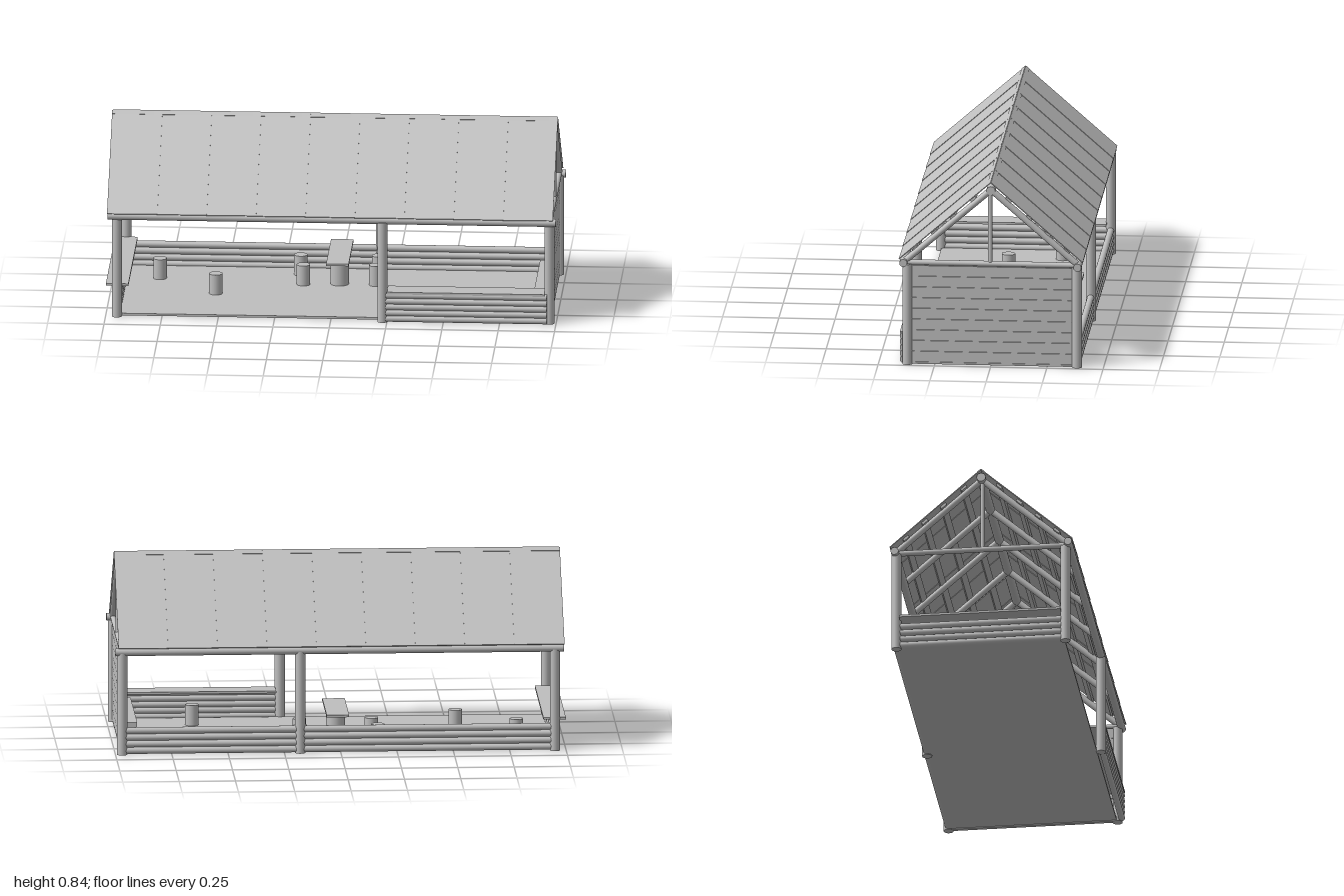
import * as THREE from 'three';

const timber = new THREE.MeshStandardMaterial({ color: 0xbfbfbf });
timber.name = 'grey timber';

export function createModel() {
  const model = new THREE.Group();
  model.name = 'shelter';

  const add = (name, geometry, x, y, z) => {
    const mesh = new THREE.Mesh(geometry, timber);
    mesh.name = name;
    mesh.position.set(x, y, z);
    model.add(mesh);
    return mesh;
  };
  const box = (name, w, h, d, x, y, z) => add(name, new THREE.BoxGeometry(w, h, d), x, y, z);

  // round log running between two points
  const log = (name, from, to, r) => {
    const a = new THREE.Vector3(...from);
    const b = new THREE.Vector3(...to);
    const dir = b.clone().sub(a);
    const mesh = add(name, new THREE.CylinderGeometry(r, r, dir.length(), 20), 0, 0, 0);
    mesh.position.copy(a).add(b).multiplyScalar(0.5);
    mesh.quaternion.setFromUnitVectors(new THREE.Vector3(0, 1, 0), dir.normalize());
    return mesh;
  };

  // floor
  box('floor', 1.9, 0.01, 0.75, 0, 0.008, -0.005);

  // posts
  const posts = [[-0.95, 0.372], [0.23, 0.388], [0.97, 0.372], [-0.95, -0.382], [0.18, -0.382], [0.97, -0.382]];
  for (const [x, z] of posts) log('post', [x, 0, z], [x, 0.46, z], 0.0225);

  // low log walls: back, front right and the open end
  for (let i = 0; i < 4; i++) {
    const y = 0.018 + i * 0.03;
    log('backWallLog', [-0.95, y, -0.382], [0.97, y, -0.382], 0.015);
    log('endWallLog', [-0.95, y, -0.37], [-0.95, y, 0.36], 0.015);
  }
  for (let i = 0; i < 5; i++) {
    const y = 0.016 + i * 0.027;
    log('frontWallLog', [0.24, y, 0.392], [0.96, y, 0.392], 0.0145);
  }

  // bench boards on the low walls
  box('frontBench', 0.7, 0.01, 0.1, 0.6, 0.137, 0.357);
  box('endBench', 0.1, 0.01, 0.72, -0.95, 0.14, -0.005);

  // planked end wall
  for (let i = 0; i < 9; i++) {
    box('wallPlank', 0.022, 0.0475, 0.74, 0.965, 0.036 + i * 0.0492, -0.005);
  }
  box('wallSill', 0.018, 0.009, 0.74, 0.965, 0.006, -0.005);

  // low rack with compartments along the end wall
  for (const y of [0.06, 0.11]) box('rackShelf', 0.06, 0.006, 0.56, 0.925, y, 0.06);
  for (let i = 0; i < 5; i++) box('rackDivider', 0.06, 0.1, 0.012, 0.925, 0.06, -0.21 + i * 0.135);

  // table
  log('tableTrunk', [0.01, 0.01, -0.14], [0.01, 0.15, -0.14], 0.042);
  box('tableTop', 0.1, 0.01, 0.38, 0.01, 0.154, -0.145);

  // stump stools
  const stools = [[-0.79, -0.18], [-0.53, 0.04], [-0.15, -0.12], [-0.17, -0.27],
    [0.17, -0.13], [0.175, -0.275], [0.63, 0.21]];
  for (const [x, z] of stools) log('stool', [x, 0.01, z], [x, 0.105, z], 0.03);

  // eave beams and ridge beam
  log('frontEaveBeam', [-0.99, 0.469, 0.388], [1, 0.469, 0.388], 0.0175);
  log('backEaveBeam', [-0.99, 0.464, -0.386], [1, 0.464, -0.386], 0.0175);
  log('ridgeBeam', [-0.985, 0.805, 0], [0.985, 0.805, 0], 0.02);

  // gable ties and king posts
  for (const x of [-0.95, 0.97]) {
    log('tieBeam', [x, 0.467, -0.38], [x, 0.467, 0.38], 0.0125);
    log('kingPost', [x, 0.475, 0.003], [x, 0.8, 0.003], 0.01);
  }

  // roof: rafters, battens and overlapping sheets on each side
  const slope = Math.atan2(0.356, 0.405);
  const sheetWidth = 1.975 / 9;
  for (const side of [1, -1]) {
    for (let i = 0; i < 7; i++) {
      const x = -0.95 + i * 0.32;
      log('rafter', [x, 0.8, 0.008 * side], [x, 0.475, 0.38 * side], 0.0145);
    }
    for (const [z, y] of [[0.079, 0.762], [0.169, 0.68], [0.252, 0.607], [0.336, 0.531]]) {
      box('batten', 1.95, 0.011, 0.03, 0, y, z * side).rotation.x = slope * side;
    }
    for (let i = 0; i < 9; i++) {
      const sheet = box('roofSheet', sheetWidth + 0.004, 0.004, 0.541,
        -0.99 + (i + 0.5) * sheetWidth, 0.662, 0.204 * side);
      sheet.rotation.set(slope * side, 0, 0.012);
    }
    // ridge capping
    box('ridgeCap', 1.975, 0.004, 0.022, -0.002, 0.835, 0.0085 * side).rotation.x = slope * side;
  }
  return model;
}
